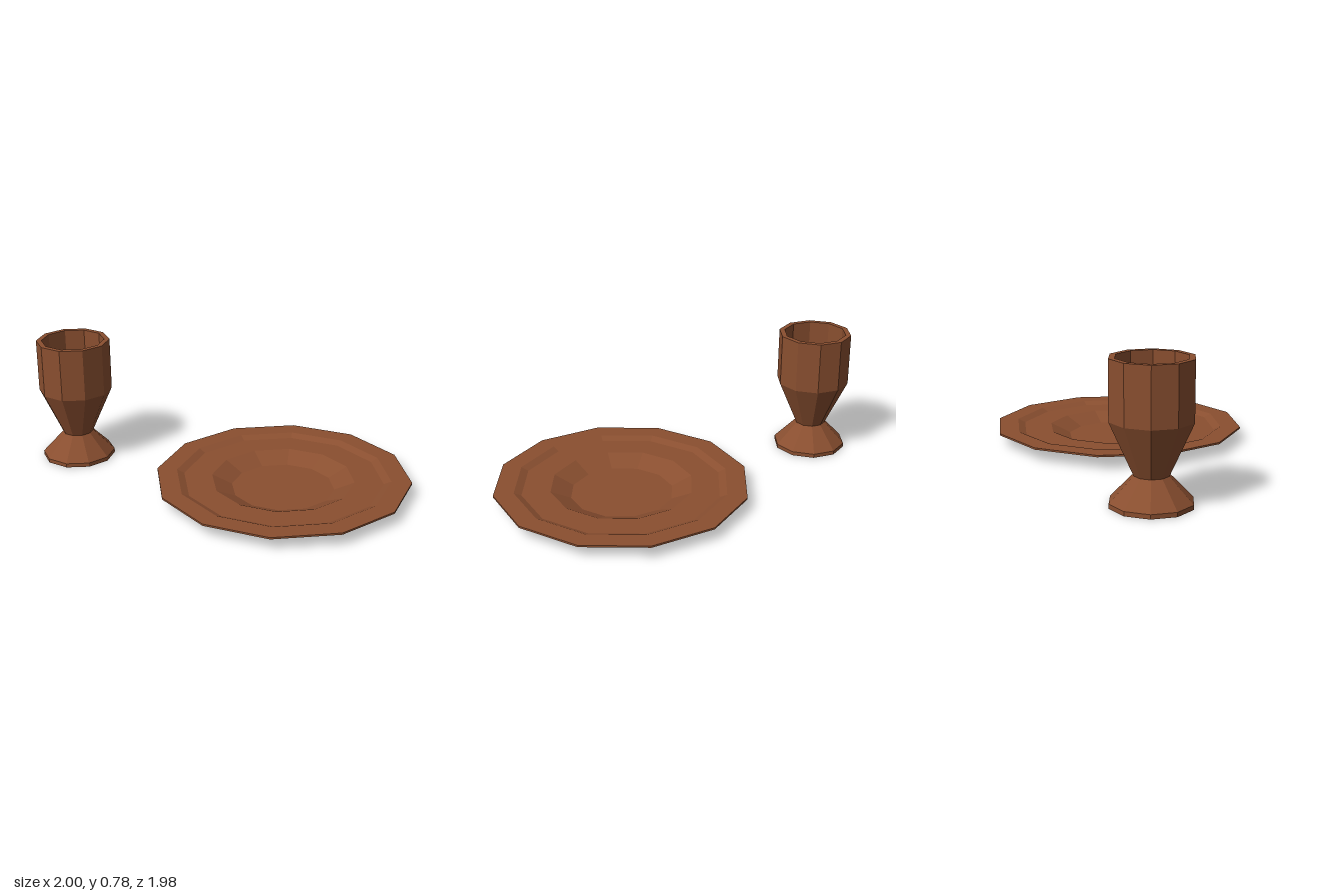
import * as THREE from 'three';

const wood = new THREE.MeshStandardMaterial({ color: 0x8a4f30, flatShading: true });

// Faceted turned part: closed profile of [radius, height], outside upwards, inside back down
function turned(name, profile, sides, x, z) {
  const points = profile.map(([r, y]) => new THREE.Vector2(r, y));
  const mesh = new THREE.Mesh(new THREE.LatheGeometry(points, sides), wood);
  mesh.name = name;
  mesh.position.set(x, 0, z);
  return mesh;
}

export function createModel() {
  const group = new THREE.Group();
  group.name = 'tableware';

  // Plate: sunken well, flat ledge and wide thin rim
  group.add(turned('plate', [
    [0, 0], [0.315, 0], [0.438, 0.055], [0.605, 0.055], [0.64, 0.075], [0.774, 0.075],
    [0.774, 0.086], [0.652, 0.086], [0.607, 0.066], [0.434, 0.066], [0.312, 0.011], [0, 0.011],
  ], 12, 0.225, 0.211));

  // Goblet: flared foot, narrow waist and hollow cup
  group.add(turned('goblet', [
    [0, 0], [0.228, 0], [0.228, 0.025], [0.096, 0.163], [0.228, 0.453], [0.228, 0.777],
    [0.195, 0.777], [0.195, 0.46], [0.08, 0.2], [0, 0.2],
  ], 10, -0.783, -0.763));

  return group;
}
